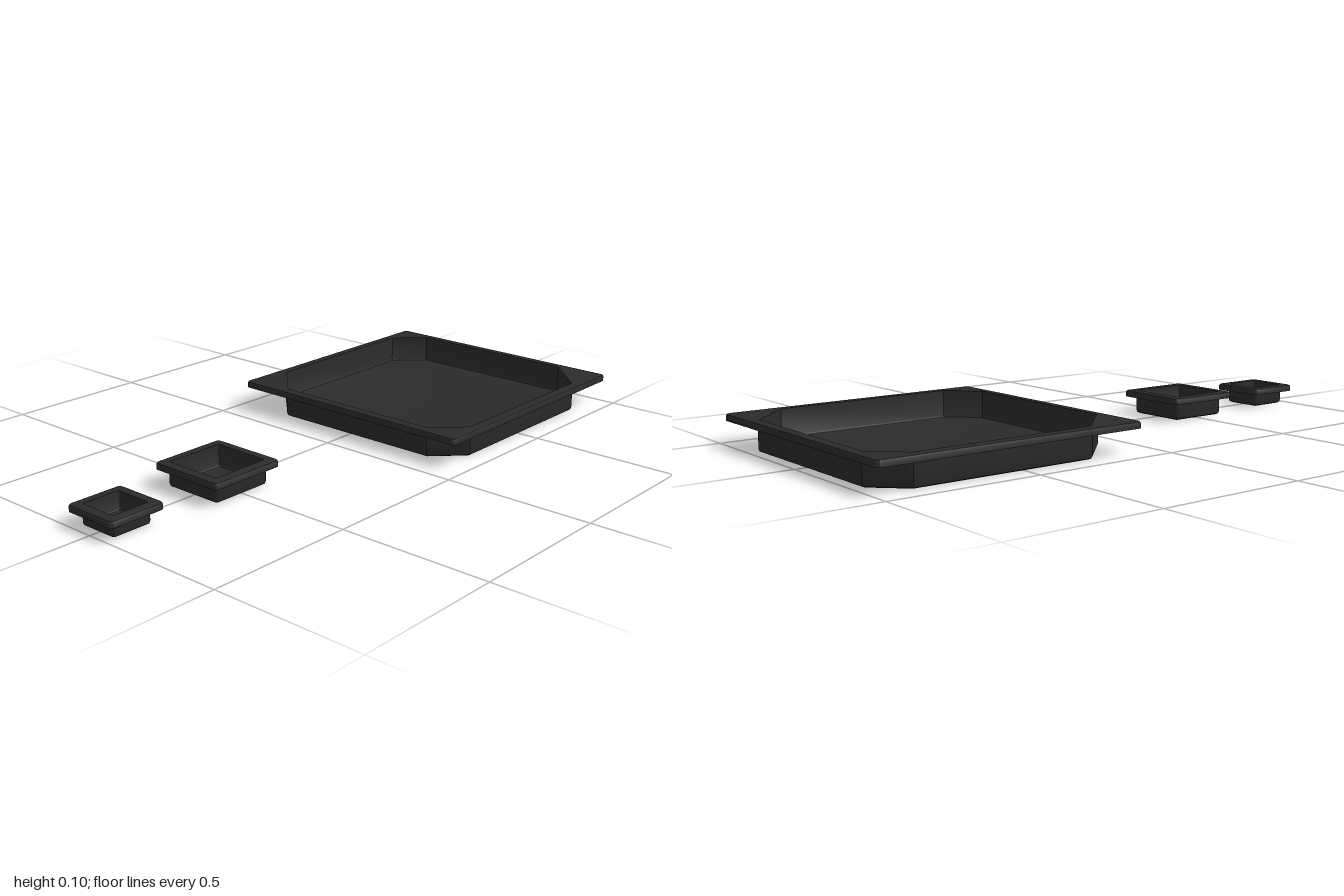
import * as THREE from 'three';
import { toCreasedNormals } from 'three/addons/utils/BufferGeometryUtils.js';

const STEPS = 6;
const CORNERS = [[1, 1], [-1, 1], [-1, -1], [1, -1]];

// One horizontal ring; cuts = corner sizes in CORNERS order, either rounded or chamfered
function ring(hx, hz, y, cuts, rounded) {
  const pts = [];
  CORNERS.forEach(([sx, sz], k) => {
    const c = cuts[k];
    for (let i = 0; i <= STEPS; i++) {
      const t = k % 2 ? 1 - i / STEPS : i / STEPS;
      const a = t * Math.PI / 2;
      const u = rounded ? 1 - Math.cos(a) : t;
      const v = rounded ? 1 - Math.sin(a) : 1 - t;
      pts.push(new THREE.Vector3(sx * (hx - c * u), y, sz * (hz - c * v)));
    }
  });
  return pts;
}

// Skin the rings in order and close both ends
function loft(rings) {
  const pos = [];
  const tri = (...p) => p.forEach((v) => pos.push(v.x, v.y, v.z));
  const n = rings[0].length;
  const first = rings[0], last = rings[rings.length - 1];
  const c0 = new THREE.Vector3(0, first[0].y, 0);
  const c1 = new THREE.Vector3(0, last[0].y, 0);
  for (let i = 0; i < n; i++) {
    const j = (i + 1) % n;
    tri(c0, first[j], first[i]);
    for (let r = 0; r < rings.length - 1; r++) {
      const p = rings[r], q = rings[r + 1];
      tri(p[i], p[j], q[i]);
      tri(p[j], q[j], q[i]);
    }
    tri(c1, last[i], last[j]);
  }
  const g = new THREE.BufferGeometry();
  g.setAttribute('position', new THREE.Float32BufferAttribute(pos, 3));
  return toCreasedNormals(g, 0.6);
}

function tray({ rim, body, top, lip, cuts, chamfered }) {
  const [rx, rz] = rim, [bx, bz] = body;
  // d = distance inside the outer wall
  const wall = (d, y) => ring(bx - d, bz - d, y,
    cuts.map((c) => Math.max(0.002, c - d * (chamfered ? 0.586 : 1))), !chamfered);
  // d = distance inside the rim edge
  const edge = (d, y) => ring(rx - d, rz - d, y, Array(4).fill(0.016 - d), true);
  return loft([
    // inside of the basin
    wall(0.015, 0.007), wall(0.009, 0.009), wall(0.006, 0.015), wall(0.005, top),
    // flange and rolled lip
    edge(0.008, top), edge(0.003, top - 0.002), edge(0, top - 0.007), edge(0, lip),
    edge(0.005, lip), edge(0.005, top - 0.008),
    // outside of the basin
    wall(0, top - 0.008), wall(0, 0.012), wall(0.003, 0.004), wall(0.011, 0),
  ]);
}

export function createModel() {
  const group = new THREE.Group();
  const black = new THREE.MeshStandardMaterial({ color: 0x2b2b2b });
  black.name = 'black plastic';

  const trays = [
    { name: 'largeTray', z: -0.54, rim: [0.46, 0.46], body: [0.43, 0.432], top: 0.101, lip: 0.079,
      cuts: [0.1, 0.145, 0.1, 0.145], chamfered: true },
    { name: 'mediumTray', z: 0.505, rim: [0.135, 0.135], body: [0.106, 0.107], top: 0.082, lip: 0.06,
      cuts: [0.01, 0.01, 0.01, 0.01] },
    { name: 'smallTray', z: 0.902, rim: [0.098, 0.098], body: [0.07, 0.07], top: 0.069, lip: 0.047,
      cuts: [0.01, 0.01, 0.01, 0.01] },
  ];
  for (const t of trays) {
    const mesh = new THREE.Mesh(tray(t), black);
    mesh.name = t.name;
    mesh.position.z = t.z;
    group.add(mesh);
  }
  return group;
}
